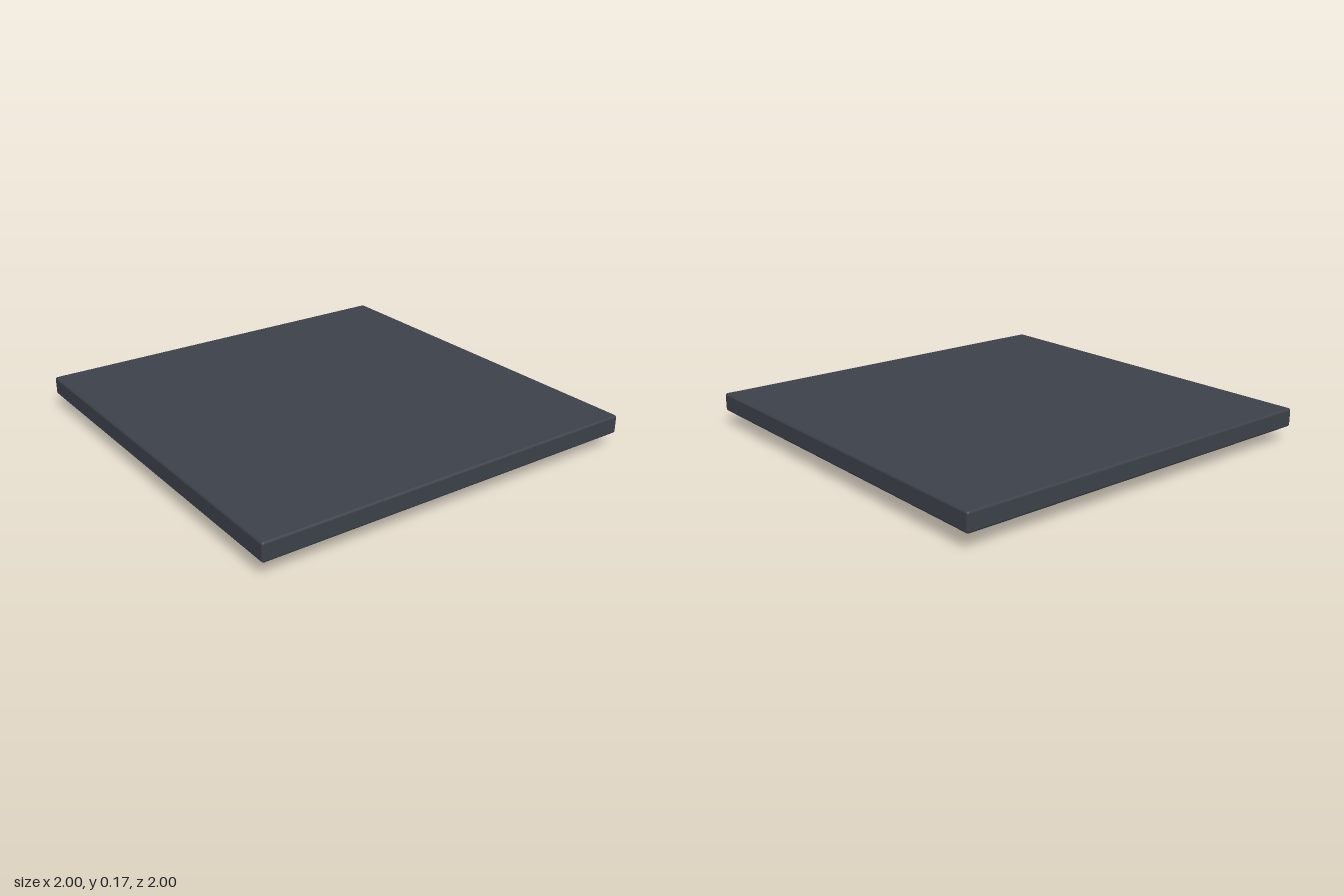
import * as THREE from 'three';
import { RoundedBoxGeometry } from 'three/addons/geometries/RoundedBoxGeometry.js';

export function createModel() {
  const model = new THREE.Group();
  model.name = 'louvredCeilingPanel';

  const add = (name, geometry, color, y, z = 0) => {
    const mesh = new THREE.Mesh(geometry, new THREE.MeshStandardMaterial({ color }));
    mesh.name = name;
    mesh.position.set(0, y, z);
    model.add(mesh);
    return mesh;
  };

  // Square slab with softened edges
  add('slab', new RoundedBoxGeometry(2, 0.093, 2, 2, 0.012), 0x3c4149, 0.1215);

  // Dark recessed plate under the slab
  add('backingPlate', new THREE.BoxGeometry(1.715, 0.03, 1.715), 0x1a1b1e, 0.066);

  // Tilted slats, front edge down
  const count = 8;
  const slat = new THREE.BoxGeometry(1.715, 0.016, 0.115);
  for (let i = 0; i < count; i++) {
    const z = 0.75 - (1.5 * i) / (count - 1);
    add(`slat${i + 1}`, slat, 0x8c9096, 0.036, z).rotation.x = Math.PI / 6;
  }

  return model;
}
